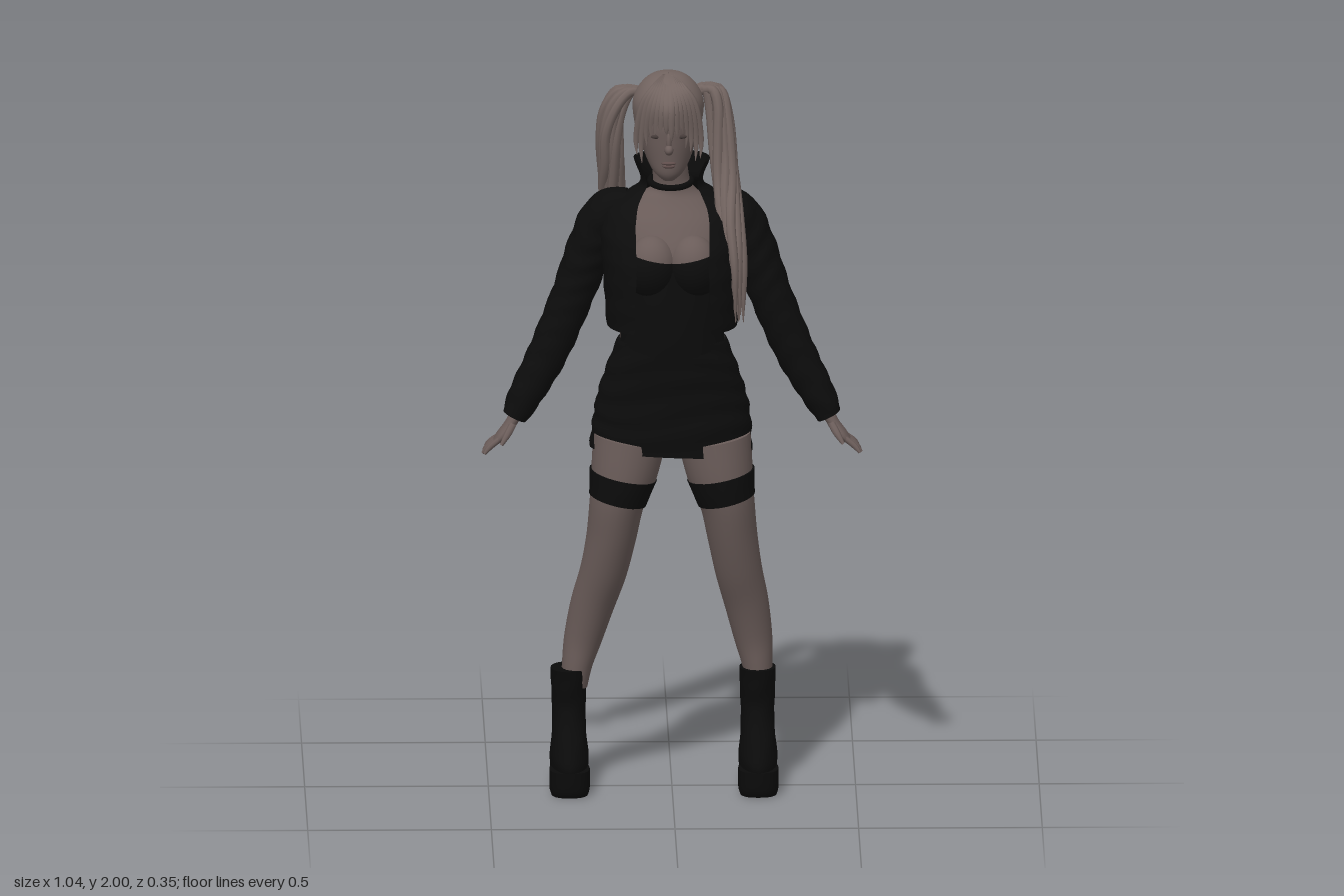
import * as THREE from 'three';

const mat = (name, color, side = THREE.FrontSide) => {
  const m = new THREE.MeshStandardMaterial({ color, side });
  m.name = name;
  return m;
};

// Smooth interpolation through a list of cross-sections
function sample(secs, f) {
  const i = Math.min(Math.floor(f), secs.length - 2), t = f - i;
  const at = k => secs[Math.max(0, Math.min(secs.length - 1, k))];
  return secs[i].map((p1, k) => {
    const p0 = at(i - 1)[k], p2 = at(i + 1)[k], p3 = at(i + 2)[k];
    return 0.5 * (2 * p1 + (p2 - p0) * t + (2 * p0 - 5 * p1 + 4 * p2 - p3) * t * t + (3 * p1 - p0 - 3 * p2 + p3) * t * t * t);
  });
}

// Loft through sections [x, y, z, halfWidth, halfDepth, openingAngle].
// mode: closed ring, 'gap' (open at the front) or 'front' (front panel only)
function loft(secs, { n = 24, steps = 5, mode = 'closed', cap = mode === 'closed', e = 1, wrinkle = 0 } = {}) {
  const total = (secs.length - 1) * steps, closed = mode === 'closed', cols = closed ? n : n + 1;
  const pow = v => Math.sign(v) * Math.abs(v) ** e;
  const rows = [];
  for (let r = 0; r <= total; r++) {
    const f = r / steps, s = sample(secs, f);
    const a = sample(secs, Math.max(0, f - 0.05)), b = sample(secs, Math.min(secs.length - 1, f + 0.05));
    const tx = b[0] - a[0], ty = b[1] - a[1], len = Math.hypot(tx, ty);
    const sx = len > 1e-6 ? ty / len : 1, sy = len > 1e-6 ? -tx / len : 0;
    let a0 = 0, a1 = Math.PI * 2;
    if (mode === 'gap') { a0 = s[5]; a1 -= s[5]; }
    if (mode === 'front') { a0 = -s[5]; a1 = s[5]; }
    const row = [];
    for (let c = 0; c < cols; c++) {
      const an = a0 + (a1 - a0) * c / n;
      const w = 1 + wrinkle * Math.sin(s[1] * 95 + 2.2 * Math.sin(an * 2 + s[1] * 9));
      const u = pow(Math.sin(an)) * Math.max(s[3], 0.0005) * w, d = pow(Math.cos(an)) * Math.max(s[4], 0.0005) * w;
      row.push([s[0] + sx * u, s[1] + sy * u, s[2] + d]);
    }
    rows.push(row);
  }
  if (cap) {
    const first = rows[0], last = rows[total], point = s => first.map(() => s.slice(0, 3));
    rows.unshift(point(secs[0]), first);
    rows.push(last, point(secs[secs.length - 1]));
  }
  const index = [];
  for (let r = 0; r < rows.length - 1; r++) for (let c = 0; c < n; c++) {
    const p = r * cols + c, q = r * cols + (c + 1) % cols;
    index.push(p, q, q + cols, p, q + cols, p + cols);
  }
  const g = new THREE.BufferGeometry();
  g.setAttribute('position', new THREE.Float32BufferAttribute(rows.flat(2), 3));
  g.setIndex(index);
  g.computeVertexNormals();
  return g;
}

export function createModel() {
  const skin = mat('skin', 0x6a5c59), hair = mat('hair', 0x726460, THREE.DoubleSide);
  const cloth = mat('black cloth', 0x0c0c0c, THREE.DoubleSide), leather = mat('black leather', 0x0a0a0a);
  const lip = mat('lips', 0x5f4d4b), eye = mat('eyes', 0x453b39);
  const model = new THREE.Group();
  const add = (name, geo, m, parent = model) => {
    const o = new THREE.Mesh(geo, m);
    o.name = name;
    parent.add(o);
    return o;
  };
  const group = name => {
    const g = new THREE.Group();
    g.name = name;
    model.add(g);
    return g;
  };
  const ball = (name, m, p, s, parent) => {
    const o = add(name, new THREE.SphereGeometry(1, 20, 14), m, parent);
    o.position.set(...p);
    o.scale.set(...s);
    return o;
  };
  let seed = 7;
  const rnd = () => (seed = (seed * 16807) % 2147483647) / 2147483647;

  // Torso and neck
  add('torso', loft([
    [0, 1.18, 0.02, 0.15, 0.095], [0, 1.27, 0.015, 0.142, 0.1], [0, 1.4, 0.01, 0.145, 0.105], [0, 1.5, 0, 0.15, 0.118],
    [0, 1.58, -0.02, 0.15, 0.1], [0, 1.64, -0.035, 0.1, 0.075], [0, 1.675, -0.03, 0.056, 0.056],
    [-0.005, 1.73, -0.015, 0.048, 0.05], [-0.01, 1.79, -0.005, 0.048, 0.05]], { n: 32 }), skin);
  for (const s of [-1, 1]) {
    ball('bust', skin, [s * 0.056, 1.48, 0.085], [0.068, 0.082, 0.07]);
    const cup = add('corsetCup', new THREE.SphereGeometry(1, 24, 14, 0, Math.PI * 2, 1.22, Math.PI - 1.22), cloth);
    cup.position.set(s * 0.056, 1.475, 0.085);
    cup.scale.set(0.074, 0.087, 0.077);
    cup.rotation.z = s * 0.2;
  }
  add('corset', loft([
    [0, 1.2, 0.02, 0.16, 0.112, 1.5], [0, 1.27, 0.025, 0.148, 0.115, 1.25], [0, 1.36, 0.02, 0.152, 0.122, 1.4],
    [0, 1.47, 0.012, 0.156, 0.125, 1.5]], { mode: 'front' }), cloth);
  const choker = add('choker', new THREE.TorusGeometry(0.056, 0.009, 8, 32), leather);
  choker.position.set(-0.003, 1.69, -0.025);
  choker.rotation.x = Math.PI / 2 + 0.15;

  // Skirt
  add('skirt', loft([
    [-0.003, 0.945, -0.003, 0.221, 0.118], [0, 1.02, -0.008, 0.216, 0.128], [0, 1.1, -0.004, 0.203, 0.124],
    [0, 1.2, 0.016, 0.172, 0.114], [0, 1.262, 0.022, 0.147, 0.112]], { n: 40, steps: 9, e: 0.92, wrinkle: 0.012 }), cloth);

  // Cropped jacket with a standing collar, open at the front
  add('jacket', loft([
    [0, 1.3, 0.015, 0.178, 0.165, 0.58], [0, 1.38, 0.012, 0.184, 0.169, 0.55], [0, 1.48, 0.008, 0.19, 0.168, 0.5],
    [0, 1.56, -0.008, 0.195, 0.15, 0.5], [0, 1.62, -0.027, 0.175, 0.122, 0.55], [0, 1.66, -0.035, 0.12, 0.085, 0.7],
    [0, 1.69, -0.03, 0.085, 0.075, 0.9], [0, 1.755, -0.022, 0.104, 0.094, 1.0]],
    { n: 48, mode: 'gap', e: 0.9, wrinkle: 0.008 }), cloth);

  for (const s of [-1, 1]) {
    const side = s > 0 ? 'left' : 'right';
    // Sleeve
    add(side + 'Sleeve', loft([
      [s * 0.11, 1.635, -0.05, 0.03, 0.06], [s * 0.18, 1.595, -0.055, 0.057, 0.076], [s * 0.225, 1.49, -0.055, 0.062, 0.07],
      [s * 0.268, 1.37, -0.05, 0.058, 0.062], [s * 0.335, 1.21, -0.037, 0.055, 0.056], [s * 0.4, 1.09, -0.02, 0.046, 0.05],
      [s * 0.428, 1.035, -0.01, 0.035, 0.04]], { steps: 8, wrinkle: 0.035 }), cloth);
    // Hand with splayed fingers
    const hand = group(side + 'Hand');
    add('palm', loft([
      [s * 0.418, 1.055, -0.008, 0.018, 0.023], [s * 0.44, 1.015, -0.003, 0.016, 0.028],
      [s * 0.464, 0.985, 0, 0.014, 0.036], [s * 0.482, 0.965, 0, 0.009, 0.033]], { n: 16 }), skin, hand);
    for (let i = 0; i < 4; i++) {
      const k = i - 1.5, l = 1 - 0.12 * Math.abs(k - 0.3);
      add('finger', loft([
        [s * 0.47, 0.978, k * 0.017, 0.008, 0.009], [s * (0.475 + 0.025 * l), 0.973 - 0.018 * l, k * 0.022, 0.008, 0.008],
        [s * (0.475 + 0.042 * l), 0.973 - 0.037 * l, k * 0.028, 0.004, 0.004]], { n: 8 }), skin, hand);
    }
    add('thumb', loft([
      [s * 0.432, 1.02, 0.015, 0.01, 0.012], [s * 0.447, 0.998, 0.042, 0.01, 0.011],
      [s * 0.465, 0.972, 0.066, 0.005, 0.006]], { n: 8 }), skin, hand);

    // Leg and thigh band
    const at = (m, y, z, rx, rz) => [s * m - 0.024 * Math.max(0, 1 - y / 0.65), y, z, rx, rz];
    add(side + 'Leg', loft([
      at(0.251, 0.27, -0.055, 0.036, 0.047), at(0.245, 0.33, -0.057, 0.042, 0.052), at(0.232, 0.4, -0.06, 0.052, 0.06),
      at(0.21, 0.5, -0.045, 0.06, 0.069), at(0.184, 0.6, -0.016, 0.064, 0.075), at(0.165, 0.7, 0, 0.068, 0.089),
      at(0.15, 0.8, 0.015, 0.075, 0.097), at(0.131, 0.88, 0.016, 0.09, 0.102), at(0.115, 0.98, 0.01, 0.1, 0.105)]), skin);
    add(side + 'ThighBand', loft([
      at(0.148, 0.808, 0.015, 0.08, 0.1), at(0.14, 0.843, 0.016, 0.086, 0.104), at(0.133, 0.878, 0.016, 0.094, 0.106)]), cloth);

    // Platform boot
    const boot = group(side + 'Boot'), bx = s * 0.257 - 0.023;
    const ring = (y, z, rx, rz) => [bx, y, z, rx, rz];
    add('upper', loft([
      ring(0.05, 0.012, 0.052, 0.137), ring(0.085, 0.012, 0.053, 0.138), ring(0.12, -0.006, 0.05, 0.117),
      ring(0.16, -0.034, 0.046, 0.083), ring(0.21, -0.055, 0.046, 0.063), ring(0.27, -0.056, 0.048, 0.063),
      ring(0.32, -0.055, 0.05, 0.064)], { wrinkle: 0.012 }), leather, boot);
    add('toeSole', loft([
      ring(0, 0.087, 0.05, 0.06), ring(0.02, 0.088, 0.055, 0.067), ring(0.07, 0.084, 0.055, 0.07)], { e: 0.8 }), leather, boot);
    add('heel', loft([
      ring(0.005, -0.075, 0.047, 0.049), ring(0.05, -0.073, 0.047, 0.05), ring(0.1, -0.068, 0.049, 0.056)], { e: 0.6 }), leather, boot);
  }

  // Head and face
  const hx = -0.01, head = group('head');
  add('face', loft([
    [hx, 1.715, 0.07, 0.015, 0.018], [hx, 1.737, 0.052, 0.042, 0.05], [hx, 1.78, 0.02, 0.065, 0.088],
    [hx, 1.83, 0.008, 0.077, 0.105], [hx, 1.88, 0.004, 0.081, 0.11], [hx, 1.94, -0.008, 0.074, 0.1],
    [hx, 1.98, -0.01, 0.045, 0.06]], { n: 32 }), skin, head);
  ball('nose', skin, [hx, 1.808, 0.115], [0.012, 0.014, 0.017], head);
  ball('noseBridge', skin, [hx, 1.83, 0.108], [0.008, 0.03, 0.012], head);
  ball('upperLip', lip, [hx, 1.769, 0.106], [0.02, 0.005, 0.008], head);
  ball('lowerLip', lip, [hx, 1.76, 0.103], [0.017, 0.006, 0.008], head);
  for (const s of [-1, 1]) ball('eye', eye, [hx + s * 0.033, 1.843, 0.102], [0.016, 0.006, 0.005], head);

  // Hair cap, parting and fringe
  const hairdo = group('hair');
  add('hairCap', loft([
    [hx, 1.765, -0.055, 0.05, 0.05, 1.5], [hx, 1.81, -0.035, 0.08, 0.088, 1.3], [hx, 1.87, -0.018, 0.094, 0.112, 0.95],
    [hx, 1.92, -0.012, 0.096, 0.117, 0.5], [hx, 1.96, -0.012, 0.078, 0.1, 0.08], [hx, 1.988, -0.012, 0.046, 0.062, 0.01],
    [hx, 1.998, -0.012, 0.002, 0.002, 0.01]], { n: 40, mode: 'gap' }), hair, hairdo);
  for (let i = 0; i < 14; i++) {
    const t = (i - 6.5) / 6.5, k = Math.abs(t), drop = 0.05 * k * k + 0.03 * rnd();
    add('fringeStrand', loft([
      [hx + 0.012 * t, 1.993, 0.015, 0.006, 0.004], [hx + 0.04 * t, 1.972, 0.075, 0.011, 0.007],
      [hx + 0.07 * t, 1.925, 0.118 - 0.035 * k, 0.012, 0.007],
      [hx + 0.088 * t, 1.885 - drop, 0.12 - 0.055 * k, 0.008, 0.005],
      [hx + 0.086 * t, 1.865 - drop * 1.6, 0.116 - 0.05 * k, 0.001, 0.001]], { n: 8, steps: 4 }), hair, hairdo);
  }

  // Ponytails: the left falls in front of the shoulder, the right behind it
  const tails = {
    leftPonytail: [[0.06, 1.925, -0.07], [0.115, 1.935, -0.065], [0.135, 1.85, -0.05], [0.145, 1.72, -0.015],
      [0.155, 1.6, 0.055], [0.17, 1.47, 0.095], [0.18, 1.32, 0.085]],
    rightPonytail: [[-0.08, 1.925, -0.07], [-0.135, 1.925, -0.075], [-0.165, 1.84, -0.075], [-0.165, 1.72, -0.1],
      [-0.165, 1.58, -0.145], [-0.16, 1.43, -0.155], [-0.155, 1.28, -0.15]],
  };
  const spread = [0.3, 0.7, 0.95, 1, 1, 0.85, 0.55], thick = [0.8, 1, 1, 1, 0.95, 0.75, 0.08];
  for (const [name, path] of Object.entries(tails)) {
    const tail = group(name);
    for (let k = 0; k < 18; k++) {
      const a = k * 2.4, r = 0.03 * Math.sqrt(k / 17), end = 1 - 0.25 * rnd() * (k % 3 ? 1 : 0);
      const secs = path.map((p, i) => {
        const q = sample(path, i * end), w = a + i * 0.35 + 0.3 * rnd();
        return [q[0] + Math.cos(w) * r * spread[i], q[1], q[2] + Math.sin(w) * r * spread[i] * 1.15, 0.014 * thick[i], 0.014 * thick[i]];
      });
      add('strand', loft(secs, { n: 8, steps: 4 }), hair, tail);
    }
  }
  return model;
}
